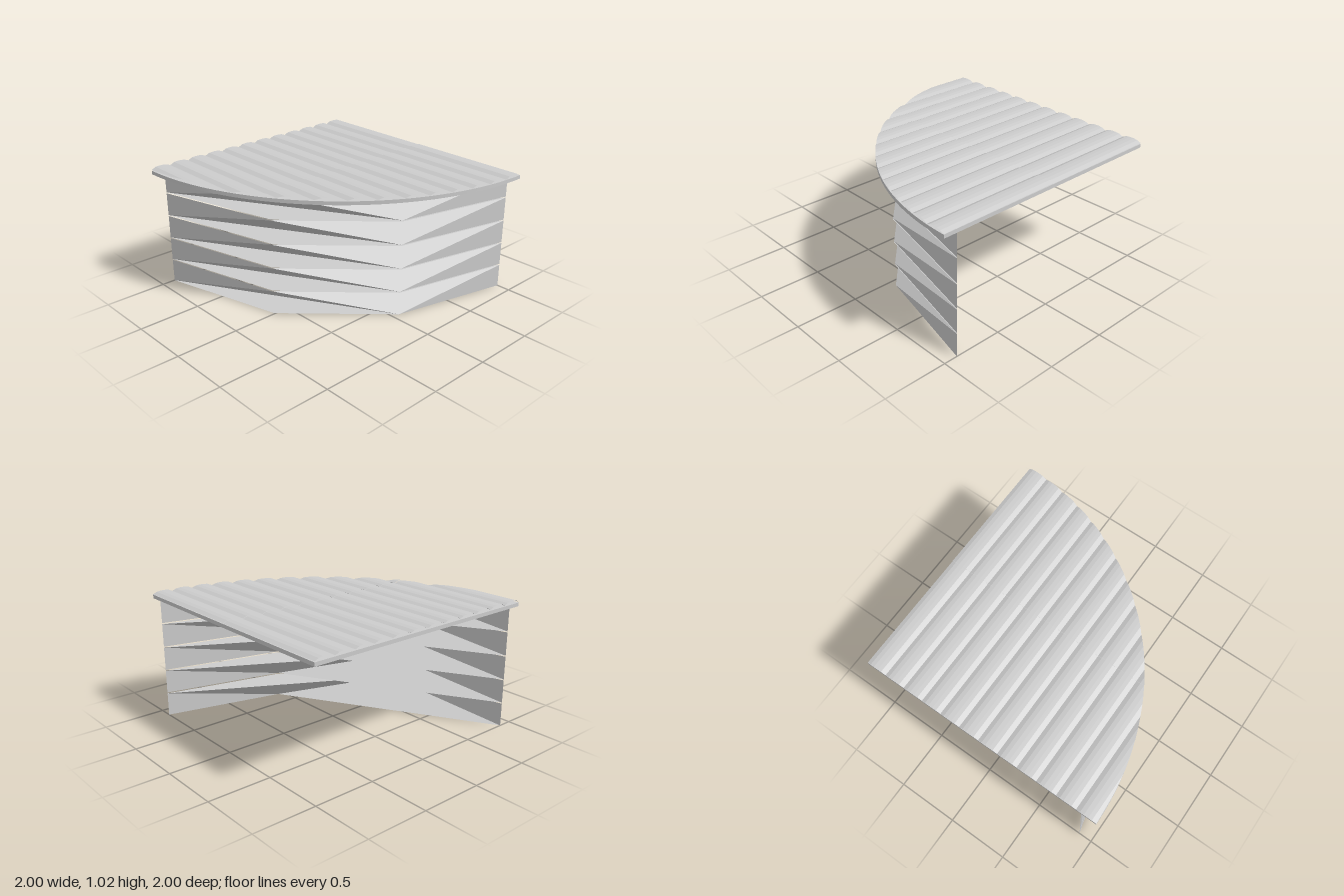
import * as THREE from 'three';

const wallMat = new THREE.MeshStandardMaterial({ color: 0xcccccc, side: THREE.DoubleSide });
wallMat.name = 'pale grey';

// Flat-faced mesh from a list of [x, y, z] triangle corners
function facets(name, corners) {
  const g = new THREE.BufferGeometry();
  g.setAttribute('position', new THREE.Float32BufferAttribute(corners.flat(), 3));
  g.computeVertexNormals();
  const mesh = new THREE.Mesh(g, wallMat);
  mesh.name = name;
  return mesh;
}

// Plan corners of the folded wall, as [x, z]
const PLAN = [[-1, 0.89], [-0.01, 0.63], [0.66, -0.06], [0.89, -1]];
const ROWS = 5, PITCH = 0.196, HEIGHT = 0.19;

// One storey: the lower edge skips corner B, the upper edge skips corner C
function wallRow(y) {
  const at = h => PLAN.map(([x, z]) => [x, y + h, z]);
  const [a, b, c, d] = at(0.002), [A, B, C, D] = at(HEIGHT);
  const row = new THREE.Group();
  row.name = 'wallRow';
  row.add(
    facets('foldedWall', [A, a, B, a, c, B, B, c, D, c, d, D]),
    facets('lowerLedge', [a, b, c]),
    facets('upperSoffit', [B, C, D]),
  );
  return row;
}

// Quarter-round edge of the roof: x reached at a given z
const edgeX = z => -1 + Math.sqrt(Math.max(0, 4 - (z + 1) ** 2));

// Corrugation profile over one period, as [z offset, y]
const RIB = [[0, 0.997], [0.033, 1.011], [0.065, 1.016], [0.1, 1.016], [0.13, 1.014], [0.15, 1.005]];

function roofSheet(x0, x1) {
  const pts = [];
  for (let i = 0; i < 12; i++) RIB.forEach(([dz, y]) => pts.push([-1 + i / 6 + dz, y]));
  pts.push([1, 0.997]);
  const tris = [];
  const lift = x => 0.004 * (x1 - x); // each sheet laps over its neighbour
  for (let i = 0; i + 1 < pts.length; i++) {
    const [p, q] = [pts[i], pts[i + 1]].map(([z, y]) => {
      const xe = Math.max(x0, Math.min(x1, edgeX(z)));
      return [[x0, y + lift(x0), z], [xe, y + lift(xe), z]];
    });
    if (p[1][0] <= x0) continue;
    tris.push(p[0], q[0], q[1], p[0], q[1], p[1]);
  }
  return facets('corrugatedSheet', tris);
}

export function createModel() {
  const model = new THREE.Group();
  model.name = 'quarterRoundBuilding';

  const walls = new THREE.Group();
  walls.name = 'walls';
  for (let i = 0; i < ROWS; i++) walls.add(wallRow(i * PITCH));

  const roof = new THREE.Group();
  roof.name = 'roof';
  // Quarter-disc deck; the shape's y becomes z
  const shape = new THREE.Shape();
  shape.moveTo(-1, -1);
  shape.lineTo(1, -1);
  shape.absarc(-1, -1, 2, 0, Math.PI / 2, false);
  shape.closePath();
  const deckGeo = new THREE.ExtrudeGeometry(shape, { depth: 0.029, bevelEnabled: false, curveSegments: 40 });
  deckGeo.rotateX(Math.PI / 2);
  deckGeo.translate(0, 0.994, 0);
  const deck = new THREE.Mesh(deckGeo, wallMat);
  deck.name = 'roofDeck';
  roof.add(deck, roofSheet(-1, 0), roofSheet(0, 1));

  model.add(walls, roof);
  return model;
}
